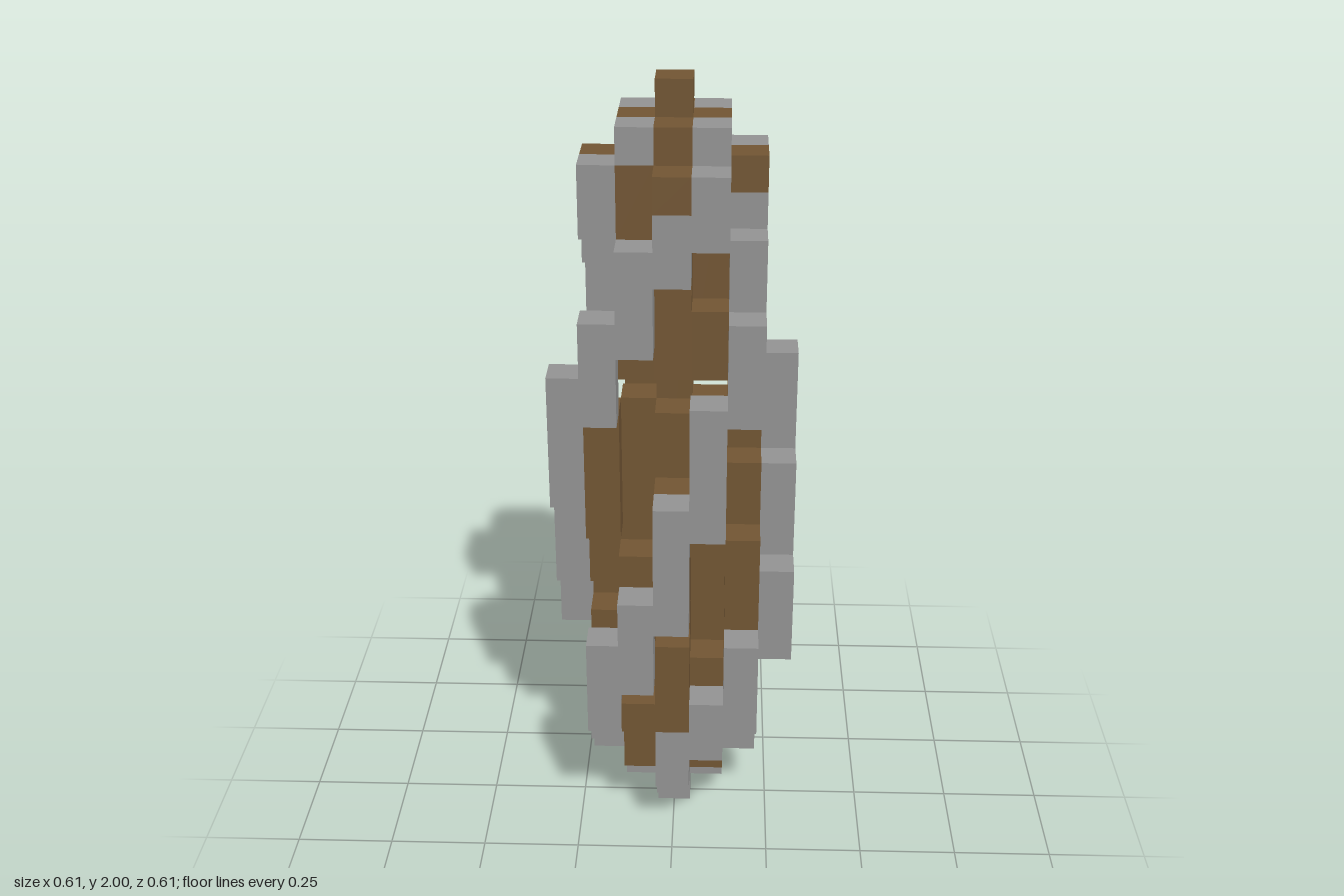
import * as THREE from 'three';

const U = 2 / 23; // one block

const stone = new THREE.MeshStandardMaterial({ color: 0x929292 });
stone.name = 'grey stone';
const wood = new THREE.MeshStandardMaterial({ color: 0x715533 });
wood.name = 'brown wood';

// A column of blocks at grid cell (x, z), filling rows first..last
function column(name, material, x, z, first, last) {
  const rows = last - first + 1;
  const mesh = new THREE.Mesh(new THREE.BoxGeometry(U, rows * U, U), material);
  mesh.position.set(x * U, (first + rows / 2) * U, z * U);
  mesh.name = name;
  return mesh;
}

// One quarter of the spiral shell: [x, z, first row, last row]
const shell = [
  [0, 1, 1, 1],                                  // bottom cap
  [0, 2, 2, 3], [1, 2, 3, 4], [2, 2, 4, 6],      // lower taper
  [-1, 3, 6, 8], [0, 3, 8, 11], [1, 3, 11, 14],  // widest band
  [2, 2, 14, 16],
  [-1, 2, 16, 18], [0, 2, 18, 19], [1, 2, 19, 20], // upper taper
  [1, 1, 21, 21],                                // top cap
];

// One quarter of the inner blade, from the post out to the shell
const blade = [
  [0, 1, 2, 13], [0, 1, 15, 21],                 // arm against the post
  [1, 1, 2, 5], [1, 1, 15, 16], [1, 1, 19, 20],  // corners
  [-1, 2, 4, 4], [0, 2, 4, 6],                   // lower lining
  [-1, 2, 7, 9], [0, 2, 8, 11], [1, 2, 10, 13],  // middle lining
  [0, 2, 20, 20],                                // top arm
];

export function createModel() {
  const model = new THREE.Group();
  model.name = 'spiralTotem';

  // Central post with a stone foot
  model.add(column('foot', stone, 0, 0, 0, 0));
  model.add(column('core', wood, 0, 0, 1, 22));

  // Four identical quarters turned about the post
  for (let i = 0; i < 4; i++) {
    const quarter = new THREE.Group();
    quarter.name = 'quarter' + (i + 1);
    for (const c of shell) quarter.add(column('shellBlock', stone, ...c));
    for (const c of blade) quarter.add(column('bladeBlock', wood, ...c));
    quarter.rotation.y = i * Math.PI / 2;
    model.add(quarter);
  }
  return model;
}
